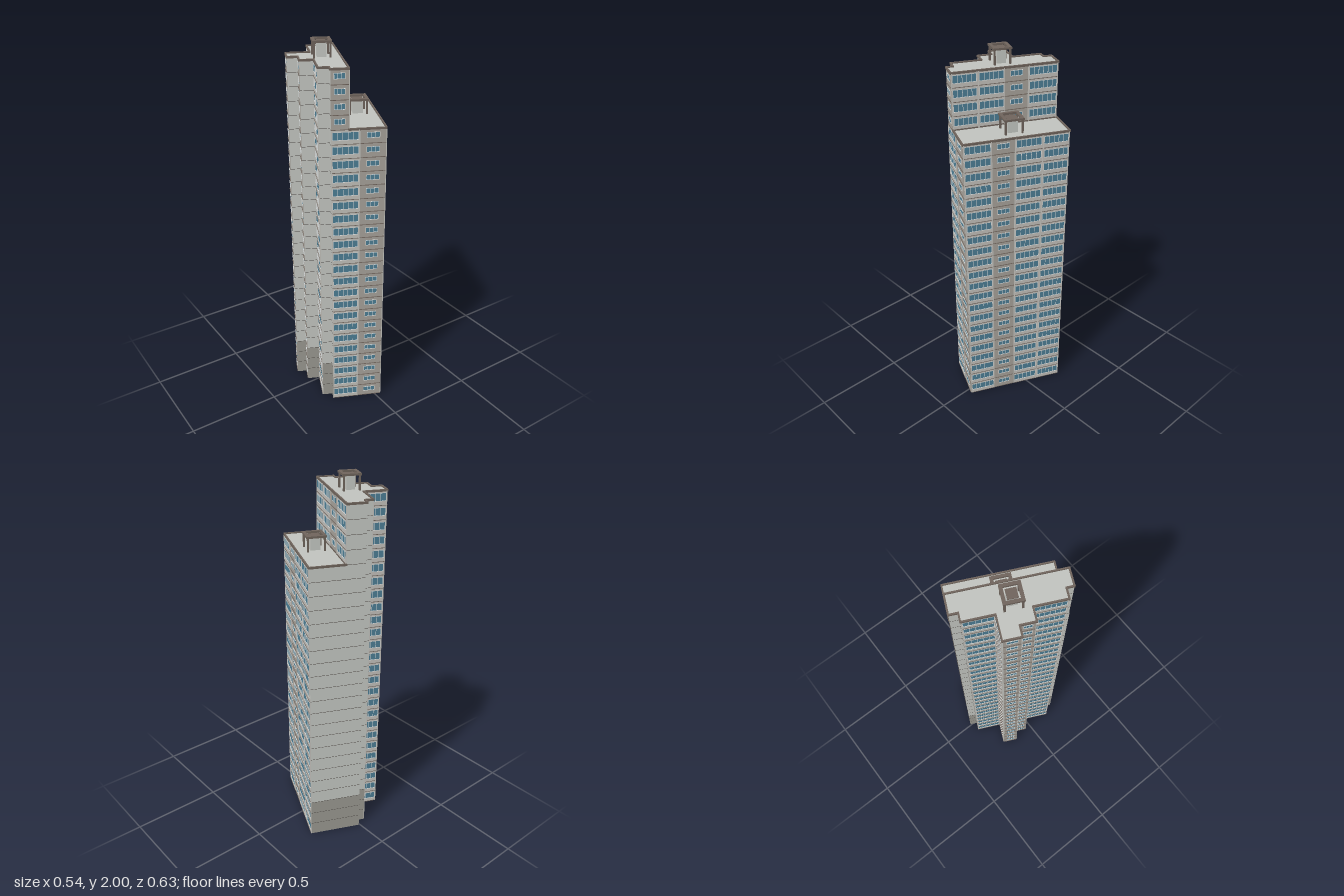
import * as THREE from 'three';
import { mergeGeometries } from 'three/addons/utils/BufferGeometryUtils.js';

const FLOOR = 1.915 / 26;
const LOW = 22, TALL = 26, BASE = 3;

const mat = (name, color) => {
  const m = new THREE.MeshStandardMaterial({ color });
  m.name = name;
  return m;
};

// Plan corners [x, z], counterclockwise seen from above
const tallPlan = [
  [-0.115, 0.27], [-0.026, 0.27], [-0.026, -0.284], [-0.125, -0.284], [-0.125, -0.241], [-0.168, -0.241],
  [-0.168, -0.089], [-0.292, -0.089], [-0.292, -0.001], [-0.238, -0.001], [-0.238, 0.074], [-0.168, 0.074],
  [-0.168, 0.234], [-0.115, 0.234],
];
const lowPlan = [[-0.026, 0.27], [0.159, 0.27], [0.159, -0.284], [-0.026, -0.284]];

export function createModel() {
  const model = new THREE.Group();
  const tower = new THREE.Group();
  tower.name = 'tower';
  tower.rotation.y = -THREE.MathUtils.degToRad(25);
  model.add(tower);

  const mats = {
    wall: mat('light wall', 0xc6c9c4),
    roof: mat('roof grey', 0xc0c3be),
    stone: mat('base stone', 0x9b9a92),
    panel: mat('warm grey panel', 0xa8a39b),
    spandrel: mat('pale spandrel', 0xc4c2bc),
    brown: mat('brown trim', 0x6f645c),
    joint: mat('dark joint', 0x55504c),
    glass: mat('blue glass', 0x4d7f96),
    frame: mat('white frame', 0xdfe3e3),
  };

  // Solid block from a plan
  const block = (name, plan, y0, y1, side) => {
    const shape = new THREE.Shape(plan.map(([x, z]) => new THREE.Vector2(x, -z)));
    const geo = new THREE.ExtrudeGeometry(shape, { depth: y1 - y0, bevelEnabled: false });
    geo.rotateX(-Math.PI / 2);
    const mesh = new THREE.Mesh(geo, [mats.roof, side]);
    mesh.name = name;
    mesh.position.y = y0;
    tower.add(mesh);
  };
  const baseTop = BASE * FLOOR;
  block('tallBase', tallPlan, 0, baseTop, mats.stone);
  block('lowBase', lowPlan, 0, baseTop, mats.stone);
  block('tallBlock', tallPlan, baseTop, TALL * FLOOR, mats.wall);
  block('lowBlock', lowPlan, baseTop, LOW * FLOOR, mats.wall);

  // A facade runs from a to b; its boxes are merged by colour
  const facade = (name, a, b, fill) => {
    const dx = b[0] - a[0], dz = b[1] - a[1];
    const parts = {};
    const put = (key, x0, x1, y0, y1, depth, back = -0.002) => {
      const g = new THREE.BoxGeometry(x1 - x0, y1 - y0, depth - back);
      g.translate((x0 + x1) / 2, (y0 + y1) / 2, (depth + back) / 2);
      (parts[key] ||= []).push(g);
    };
    fill(put, Math.hypot(dx, dz));
    const group = new THREE.Group();
    group.name = name;
    group.position.set(a[0], 0, a[1]);
    group.rotation.y = Math.atan2(-dz, dx);
    for (const key in parts) {
      const mesh = new THREE.Mesh(mergeGeometries(parts[key]), mats[key]);
      mesh.name = `${name} ${mats[key].name}`;
      group.add(mesh);
    }
    tower.add(group);
  };

  // Framed window with equal panes
  const windowUnit = (put, x0, x1, y0, y1, panes) => {
    const t = 0.0022;
    put('glass', x0, x1, y0, y1, 0.0015);
    put('frame', x0, x1, y0, y0 + t, 0.003);
    put('frame', x0, x1, y1 - t, y1, 0.003);
    for (let i = 0; i <= panes; i++) {
      const x = x0 + (x1 - x0 - t) * i / panes;
      put('frame', x, x + t, y0 + t, y1 - t, 0.003);
    }
  };

  // Wide glazed bay: spandrel, window band and slab edge on each floor
  const glazed = (put, x0, x1, from, to) => {
    for (let f = from; f < to; f++) {
      const y = f * FLOOR;
      put('spandrel', x0, x1, y + 0.003, y + FLOOR * 0.3, 0.003);
      put('spandrel', x0, x1, y + FLOOR * 0.87, y + FLOOR, 0.003);
      put('brown', x0, x1, y, y + 0.003, 0.0045);
      windowUnit(put, x0 + 0.002, x1 - 0.002, y + FLOOR * 0.3, y + FLOOR * 0.87, Math.max(2, Math.round((x1 - x0) / 0.027)));
    }
    put('spandrel', x0 - 0.003, x0 + 0.002, from * FLOOR, to * FLOOR, 0.004);
    put('spandrel', x1 - 0.002, x1 + 0.003, from * FLOOR, to * FLOOR, 0.004);
  };

  // Solid panel bay with one small window on each floor
  const panelled = (put, x0, x1, from, to) => {
    const c = (x0 + x1) / 2, w = Math.min(0.033, (x1 - x0) * 0.32);
    put('panel', x0, x1, from * FLOOR, to * FLOOR, 0.001);
    for (let f = from; f < to; f++) {
      const y = f * FLOOR;
      put('brown', x0, x1, y, y + 0.003, 0.0035);
      windowUnit(put, c - w, c + w, y + FLOOR * 0.38, y + FLOOR * 0.78, 3);
    }
  };

  // Blank wall with a thin joint on each floor
  const blank = (floors) => (put, len) => {
    for (let f = 1; f < floors; f++) put('joint', 0, len, f * FLOOR - 0.001, f * FLOOR + 0.001, 0.0006);
  };

  // Long side of the low block
  facade('longFacade', lowPlan[1], lowPlan[2], (put, l) => {
    glazed(put, 0.004, l * 0.255, 0, LOW);
    panelled(put, l * 0.265, l * 0.475, 0, LOW);
    glazed(put, l * 0.485, l * 0.735, 0, LOW);
    glazed(put, l * 0.75, l - 0.004, 0, LOW);
  });
  // Upper floors of the tall block above the low roof
  facade('upperFacade', tallPlan[1], tallPlan[2], (put, l) => {
    glazed(put, 0.004, l * 0.235, LOW, TALL);
    glazed(put, l * 0.25, l * 0.485, LOW, TALL);
    panelled(put, l * 0.495, l * 0.71, LOW, TALL);
    glazed(put, l * 0.72, l - 0.004, LOW, TALL);
  });
  // Windowed end, shared by both blocks
  facade('endFacade', tallPlan[0], lowPlan[1], (put, l) => {
    glazed(put, 0.004, l * 0.51, 0, LOW);
    panelled(put, l * 0.53, l - 0.001, 0, LOW);
    panelled(put, 0.001, 0.088, LOW, TALL);
  });
  // Blank end walls
  facade('lowEndWall', lowPlan[2], lowPlan[3], blank(LOW));
  facade('tallEndWall', tallPlan[2], tallPlan[3], blank(TALL));

  // Stepped rear side and stair core
  const rear = { 5: glazed, 6: glazed, 7: panelled, 9: panelled, 11: glazed };
  for (let i = 3; i < tallPlan.length; i++) {
    const a = tallPlan[i], b = tallPlan[(i + 1) % tallPlan.length];
    const bay = rear[i];
    facade(`rearFacade${i - 2}`, a, b, bay ? (put, l) => bay(put, 0.004, l - 0.004, 0, TALL) : blank(TALL));
  }

  // Roof rims
  const rim = (name, plan, y) => plan.forEach((a, i) =>
    facade(`${name}${i + 1}`, a, plan[(i + 1) % plan.length], (put, l) => {
      put('brown', -0.003, l + 0.003, y - 0.004, y + 0.007, 0.004, -0.004);
    }));
  rim('tallRim', tallPlan, TALL * FLOOR);
  rim('lowRim', lowPlan, LOW * FLOOR);

  // Rooftop housing under an open square frame on four posts
  const rooftop = (name, x, z, y, height, size, core) => {
    const group = new THREE.Group();
    group.name = name;
    group.position.set(x, y, z);
    const box = (part, m, w, h, d, px, py, pz) => {
      const mesh = new THREE.Mesh(new THREE.BoxGeometry(w, h, d), m);
      mesh.name = part;
      mesh.position.set(px, py, pz);
      group.add(mesh);
    };
    const beam = 0.016, half = (size - beam) / 2, thick = 0.011;
    box('housing', mats.wall, core, height - 0.012, core, 0, (height - 0.012) / 2, 0);
    box('housingLid', mats.brown, core + 0.004, 0.004, core + 0.004, 0, height - 0.01, 0);
    for (const s of [-1, 1]) {
      box('frameBeam', mats.brown, size, thick, beam, 0, height - thick / 2, s * half);
      box('frameBeam', mats.brown, beam, thick, size - 2 * beam, s * half, height - thick / 2, 0);
      for (const t of [-1, 1]) {
        box('framePost', mats.brown, 0.009, height - thick, 0.009, s * half, (height - thick) / 2, t * half);
      }
    }
    tower.add(group);
  };
  rooftop('tallRoofHousing', -0.12, -0.008, TALL * FLOOR, 2 - TALL * FLOOR, 0.097, 0.046);
  rooftop('lowRoofHousing', 0.062, -0.008, LOW * FLOOR, 0.081, 0.104, 0.053);

  return model;
}
